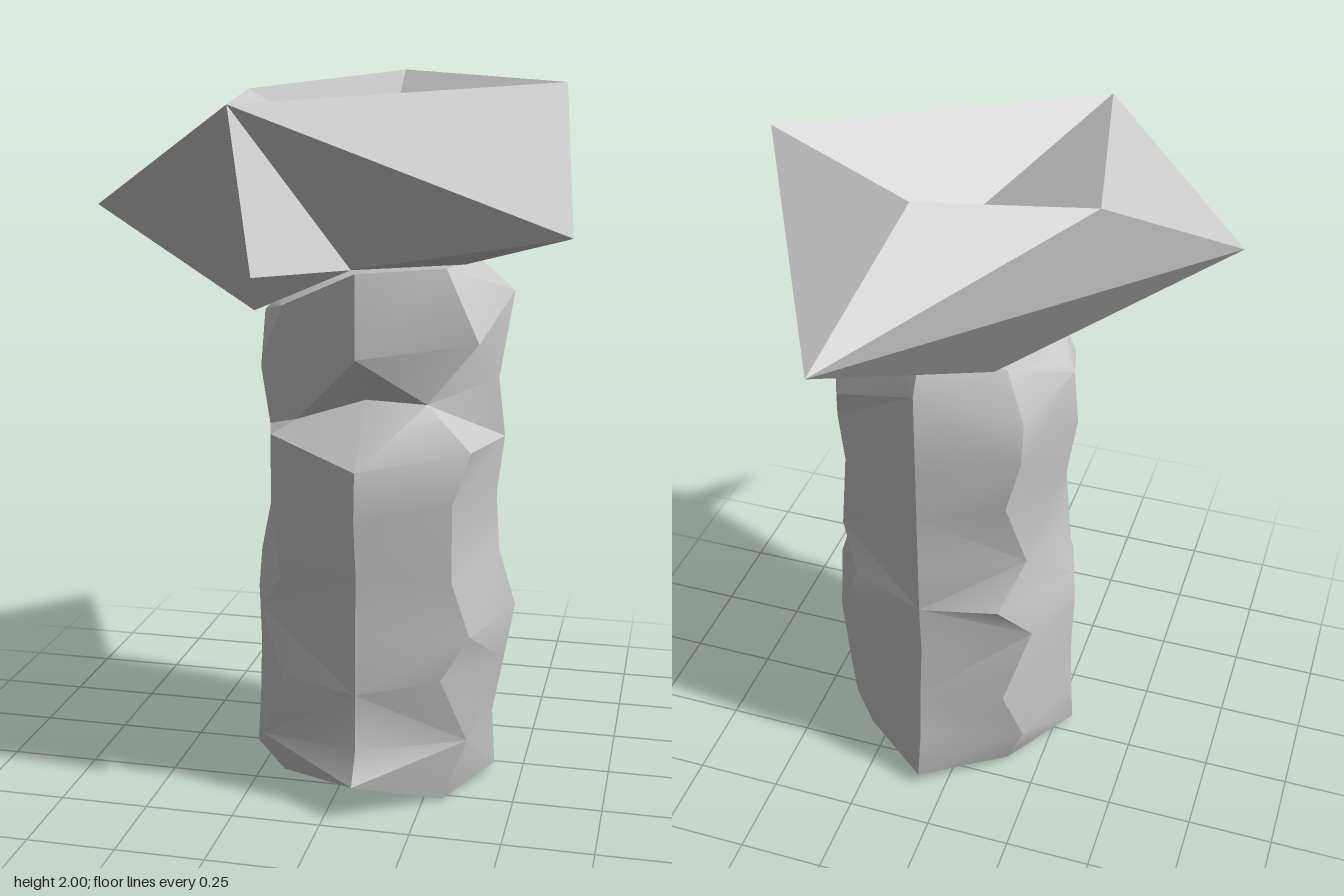
import * as THREE from 'three';
import { toCreasedNormals } from 'three/addons/utils/BufferGeometryUtils.js';

const stone = new THREE.MeshStandardMaterial({ color: 0xc8c8c8 });
stone.name = 'grey stone';

// Indexed triangles to a geometry that is smooth except at sharp edges
function faceted(points, faces, crease) {
  const g = new THREE.BufferGeometry();
  g.setAttribute('position', new THREE.Float32BufferAttribute(points.flat(), 3));
  g.setIndex(faces.flat());
  return toCreasedNormals(g, crease);
}

// Weathered column: even rings of eight corners, from +x turning towards +z
function makeColumn() {
  const sides = 8;
  // radius towards +x, +z, -x and -z for each ring, from the foot up
  const profile = [
    [0.34, 0.41, 0.38, 0.41], [0.33, 0.36, 0.37, 0.38], [0.36, 0.36, 0.365, 0.37],
    [0.39, 0.36, 0.37, 0.35], [0.34, 0.35, 0.36, 0.36], [0.33, 0.38, 0.31, 0.36],
    [0.35, 0.37, 0.33, 0.36], [0.33, 0.22, 0.355, 0.36], [0.37, 0.36, 0.34, 0.36],
    [0.27, 0.36, 0.31, 0.31],
  ];
  const levels = profile.length - 1;
  const points = [];
  const faces = [];
  profile.forEach((radii, k) => {
    const spread = k === 0 ? 0.84 : k === levels ? 0.96 : 1.03;
    for (let i = 0; i < sides; i++) {
      const q = i >> 1;
      const odd = i % 2;
      const inner = odd && k > 0 && k < levels ? 1 : 0;
      const turn = inner * 0.16 * Math.sin(k * 2.7 + i * 1.9);
      const chip = inner * 0.035 * Math.cos(k * 1.9 + i * 2.6);
      const a = (i / sides) * Math.PI * 2 + turn;
      const r = odd ? ((radii[q] + radii[(q + 1) % 4]) / 2) * spread : radii[q];
      points.push([0.08 + r * Math.cos(a), 0.02 + (k * 1.49) / levels + chip, 0.05 + r * Math.sin(a)]);
    }
  });

  // raised and lowered corners: ring, corner, lift
  const lifts = [
    [0, 1, -0.02], [0, 2, 0.08], [0, 3, 0.03], [0, 6, 0.02],
    [4, 4, -0.05], [5, 4, -0.08], [6, 2, -0.03], [7, 2, -0.03], [7, 3, -0.07],
    [8, 0, 0.08], [8, 1, -0.05], [8, 2, -0.06], [8, 3, -0.06], [8, 6, 0.08],
    [9, 3, -0.11], [9, 4, -0.13], [9, 5, -0.05],
  ];
  for (const [k, i, lift] of lifts) points[k * sides + i][1] += lift;

  for (let k = 0; k < levels; k++) {
    for (let i = 0; i < sides; i++) {
      const a = k * sides + i;
      const b = k * sides + ((i + 1) % sides);
      const c = a + sides;
      const d = b + sides;
      // alternate the diagonals for a chipped surface
      if ((i + k) % 2) faces.push([a, c, b], [b, c, d]);
      else faces.push([a, c, d], [a, d, b]);
    }
  }

  // bottom and top ends
  const top = levels * sides;
  const hub = points.length;
  points.push([0.08, 0.03, 0.05], [0.08, 1.48, 0.05]);
  for (let i = 0; i < sides; i++) {
    const j = (i + 1) % sides;
    faces.push([hub, i, j], [hub + 1, top + j, top + i]);
  }
  return faceted(points, faces, 0.6);
}

// Angular capstone with a dished top and flat faces between lettered corners
function makeCapstone() {
  const corners = {
    A: [-0.65, 1.66, 0.305], B: [-0.21, 1.94, 0.55], C: [0.57, 1.98, 0],
    D: [0.65, 1.64, 0.59], E: [0.16, 1.77, -0.78], F: [0.07, 2, -0.32],
    G: [-0.35, 1.95, -0.12], H: [0.07, 1.75, 0.02], I: [-0.09, 1.55, 0.775],
    J: [0.07, 1.52, 0.41], K: [0.31, 1.55, -0.18], L: [-0.23, 1.38, 0.265],
    P: [0.34, 1.52, 0.25], Q: [-0.1, 1.46, -0.18],
  };
  const names = Object.keys(corners);
  const faces = [
    'GBH', 'BCH', 'CFH', 'FGH', // dished top
    'GAB', 'BDC', 'CEF', 'FEG', 'GEA', // upper sides
    'AJB', 'ALJ', 'BJD', // front
    'BIJ', 'BJI', // both sides of the thin spur
    'DJP', 'DPK', 'CDK', 'CKE', 'EKQ', 'EQA', 'AQL', // undercut
    'JKP', 'JQK', 'JLQ', // underside
  ];
  const indices = faces.map((f) => [...f].map((c) => names.indexOf(c)));
  return faceted(Object.values(corners), indices, 0.05);
}

export function createModel() {
  const model = new THREE.Group();
  model.name = 'rockPillar';
  const parts = { column: makeColumn(), capstone: makeCapstone() };
  for (const [name, geometry] of Object.entries(parts)) {
    const mesh = new THREE.Mesh(geometry, stone);
    mesh.name = name;
    model.add(mesh);
  }
  return model;
}
